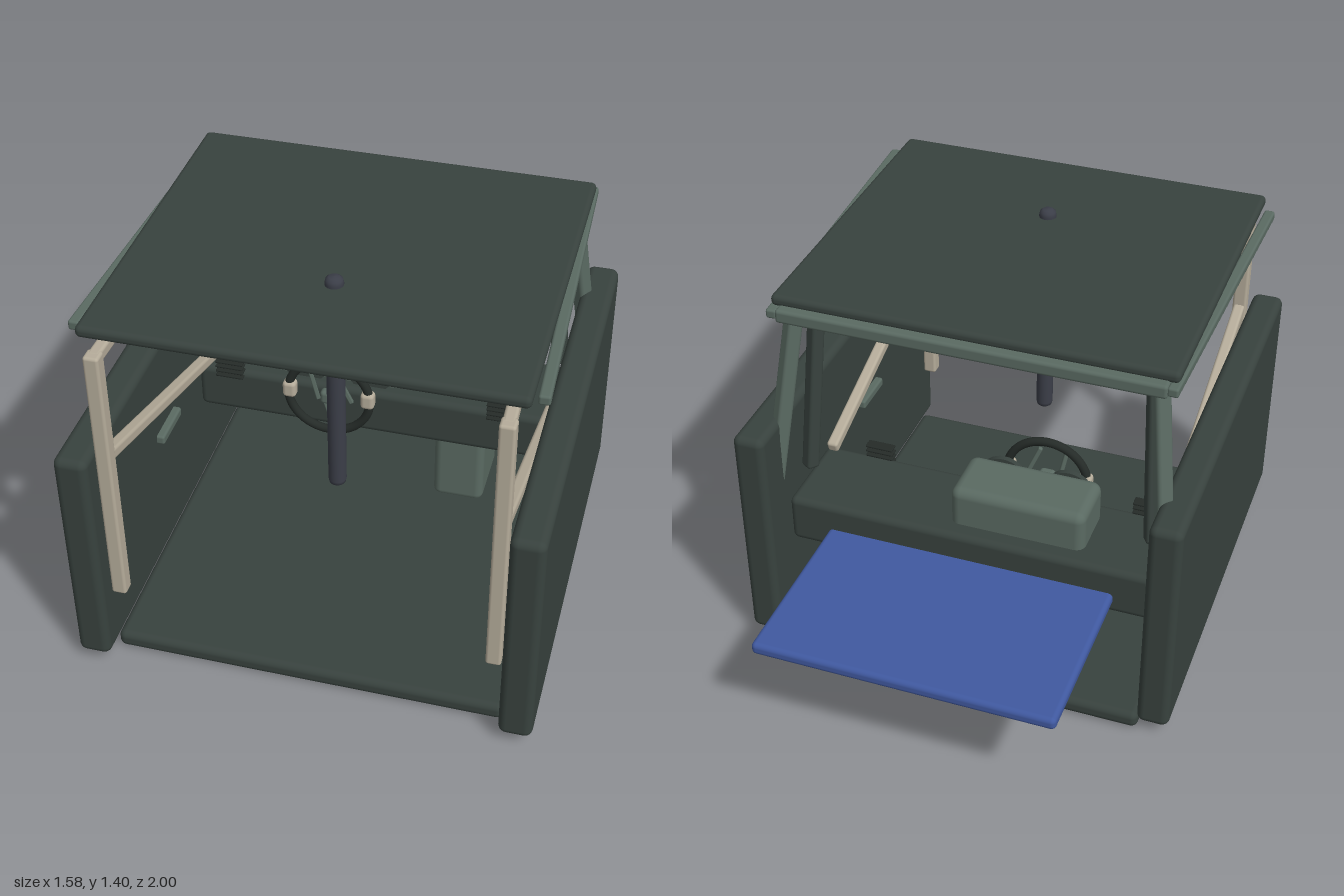
import * as THREE from 'three';
import { RoundedBoxGeometry } from 'three/addons/geometries/RoundedBoxGeometry.js';

const mat = (color) => new THREE.MeshStandardMaterial({ color, roughness: 0.8 });
const V = (x, y, z) => new THREE.Vector3(x, y, z);

export function createModel() {
  const model = new THREE.Group();
  const dark = mat(0x38423e), pale = mat(0x5a6a62), cream = mat(0xb5ac9a);
  const slate = mat(0x3b3e48), blue = mat(0x4059a0), black = mat(0x252b28), red = mat(0x8a2f20);

  const add = (name, geometry, material, parent = model) => {
    const mesh = new THREE.Mesh(geometry, material);
    mesh.name = name;
    parent.add(mesh);
    return mesh;
  };

  // Rounded box given by its limits on each axis
  const box = (name, [x0, x1], [y0, y1], [z0, z1], r, material) => {
    const mesh = add(name, new RoundedBoxGeometry(x1 - x0, y1 - y0, z1 - z0, 3, r), material);
    mesh.position.set((x0 + x1) / 2, (y0 + y1) / 2, (z0 + z1) / 2);
    return mesh;
  };

  // Square bar running between two points
  const bar = (name, a, b, w, d, material, parent = model) => {
    const r = Math.min(w, d) * 0.25;
    const mesh = add(name, new RoundedBoxGeometry(w, d, a.distanceTo(b), 2, r), material, parent);
    mesh.position.copy(a).add(b).multiplyScalar(0.5);
    mesh.lookAt(b);
    return mesh;
  };

  // Floor, roof, dashboard and hood
  box('floor', [-0.68, 0.68], [0, 0.065], [-0.53, 0.91], 0.025, dark);
  box('roof', [-0.7, 0.7], [1.325, 1.367], [-0.33, 0.905], 0.018, dark);
  box('dashboard', [-0.68, 0.68], [0.36, 0.545], [-0.365, -0.02], 0.025, dark);
  box('hood', [-0.53, 0.53], [0.398, 0.445], [-1, -0.3], 0.018, blue);
  box('console', [0.21, 0.4], [0.05, 0.372], [-0.36, -0.08], 0.03, pale);
  box('windshieldHeader', [-0.67, 0.67], [1.285, 1.335], [-0.365, -0.315], 0.012, pale);

  // Parts repeated on both sides
  for (const s of [-1, 1]) {
    const door = box('door', [-0.0575, 0.0575], [0.04, 0.9], [-0.53, 1], 0.028, dark);
    door.position.x = s * 0.7325;
    bar('windshieldPillar', V(s * 0.63, 1.31, -0.29), V(s * 0.72, 0.55, -0.41), 0.055, 0.055, pale);
    bar('innerPillar', V(s * 0.592, 1.265, -0.207), V(s * 0.63, 0.635, -0.27), 0.05, 0.05, dark);
    bar('roofRail', V(s * 0.685, 1.312, -0.36), V(s * 0.728, 1.322, 0.845), 0.038, 0.034, pale);
    box('rearPost', [s * 0.64 - 0.026, s * 0.64 + 0.026], [0.295, 1.285], [0.89, 0.942], 0.01, cream);
    bar('upperRail', V(s * 0.64, 1.265, 0.92), V(s * 0.6, 1.265, -0.21), 0.042, 0.042, cream);
    bar('diagonalBrace', V(s * 0.64, 0.88, 0.92), V(s * 0.64, 0.57, -0.07), 0.042, 0.042, cream);
    bar('doorHandle', V(s * 0.665, 0.545, 0.43), V(s * 0.665, 0.545, 0.25), 0.035, 0.035, pale);
  }

  // Air vent slats
  for (const x of [-0.553, 0.467])
    for (let i = 0; i < 4; i++) {
      const y = 0.527 + i * 0.02;
      box('ventSlat', [x - 0.052, x + 0.052], [y - 0.004, y + 0.004], [-0.04, 0], 0.003, black);
    }

  // Instrument cluster with two gauges and a knob
  box('instrumentCluster', [-0.4, 0.09], [0.5, 0.69], [-0.3, -0.07], 0.035, pale);
  for (const x of [-0.275, -0.03]) {
    const gauge = add('gauge', new THREE.CylinderGeometry(0.085, 0.085, 0.02, 32), dark);
    gauge.rotation.x = Math.PI / 2;
    gauge.position.set(x, 0.605, -0.065);
  }
  add('knob', new THREE.SphereGeometry(0.012, 16, 12), red).position.set(0.076, 0.602, -0.07);

  // Steering wheel
  const wheel = new THREE.Group();
  wheel.name = 'steeringWheel';
  wheel.position.set(-0.155, 0.556, 0.05);
  model.add(wheel);
  add('rim', new THREE.TorusGeometry(0.153, 0.016, 12, 48), black, wheel);
  add('hub', new RoundedBoxGeometry(0.06, 0.055, 0.04, 3, 0.015), pale, wheel);
  for (const a of [0.72, Math.PI - 0.72, -Math.PI / 2])
    bar('spoke', V(0, 0, 0), V(Math.cos(a) * 0.148, Math.sin(a) * 0.148, 0), 0.016, 0.016, pale, wheel);
  for (const s of [-1, 1])
    add('grip', new RoundedBoxGeometry(0.05, 0.066, 0.045, 3, 0.015), cream, wheel).position.set(s * 0.146, 0.012, 0);
  const column = add('steeringColumn', new THREE.CylinderGeometry(0.02, 0.02, 0.12, 16), slate, wheel);
  column.rotation.x = Math.PI / 2;
  column.position.z = -0.06;

  // Upright pole through the roof, with softened ends
  const profile = [[0, 0.548], [0.018, 0.55], [0.028, 0.558], [0.031, 0.572],
    [0.031, 1.373], [0.028, 1.387], [0.018, 1.395], [0, 1.397]].map(([r, y]) => new THREE.Vector2(r, y));
  add('pole', new THREE.LatheGeometry(profile, 24), slate).position.set(0, 0, 0.487);

  return model;
}
